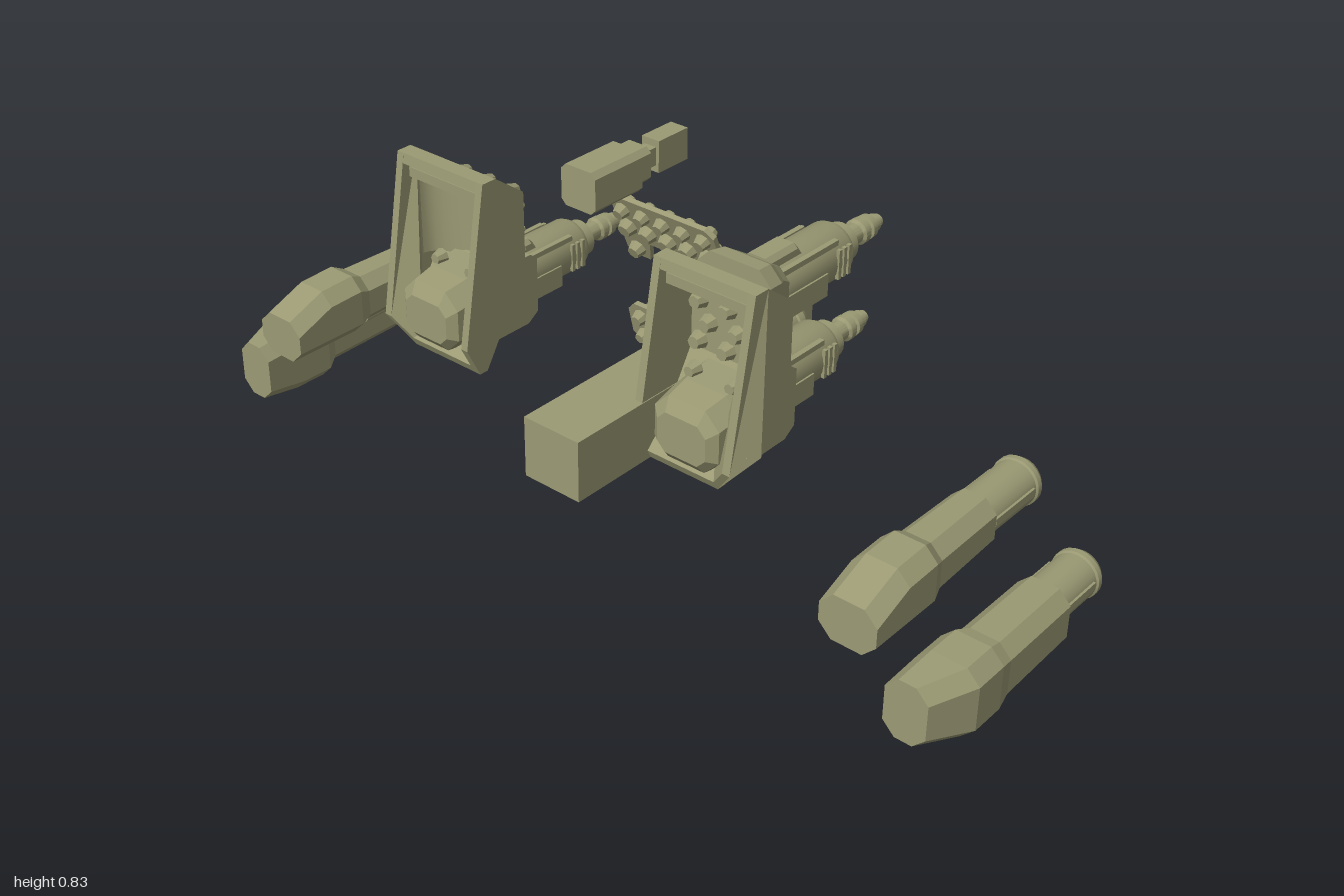
import * as THREE from 'three';
import { toCreasedNormals } from 'three/addons/utils/BufferGeometryUtils.js';

const olive = new THREE.MeshStandardMaterial({ color: 0x9b9a74 });
olive.name = 'olive khaki';

function add(parent, name, geo, x = 0, y = 0, z = 0) {
  const m = new THREE.Mesh(geo, olive);
  m.name = name;
  m.position.set(x, y, z);
  parent.add(m);
  return m;
}
const box = (w, h, d) => new THREE.BoxGeometry(w, h, d);

// Chamfered-rectangle sections [z, x0, x1, y0, y1, chamfer], front to rear, joined and capped
function loft(sections) {
  const rings = sections.map(([z, x0, x1, y0, y1, c]) => [
    [x0 + c, y0], [x1 - c, y0], [x1, y0 + c], [x1, y1 - c],
    [x1 - c, y1], [x0 + c, y1], [x0, y1 - c], [x0, y0 + c],
  ].map(([x, y]) => [x, y, z]));
  const pos = [];
  const tri = (a, b, c) => pos.push(...a, ...b, ...c);
  for (let i = 0; i < rings.length - 1; i++) {
    for (let j = 0; j < 8; j++) {
      const k = (j + 1) % 8;
      const a = rings[i][j], b = rings[i][k], c = rings[i + 1][j], d = rings[i + 1][k];
      tri(a, c, d);
      tri(a, d, b);
    }
  }
  const f = rings[0], r = rings[rings.length - 1];
  for (let j = 1; j < 7; j++) {
    tri(f[0], f[j], f[j + 1]);
    tri(r[0], r[j + 1], r[j]);
  }
  const g = new THREE.BufferGeometry();
  g.setAttribute('position', new THREE.Float32BufferAttribute(pos, 3));
  g.computeVertexNormals();
  return g;
}

// Turned part along z; profile is [radius, distance to the rear]
function turned(profile, sides = 24) {
  const g = new THREE.LatheGeometry(profile.map(([r, h]) => new THREE.Vector2(r, h)), sides);
  g.rotateX(-Math.PI / 2);
  return toCreasedNormals(g, 0.5);
}

// Side profile in (z, y), extruded from x0 to x1
function slab(profile, x0, x1) {
  const s = new THREE.Shape(profile.map(([z, y]) => new THREE.Vector2(z, y)));
  const g = new THREE.ExtrudeGeometry(s, { depth: x1 - x0, bevelEnabled: false });
  g.rotateY(-Math.PI / 2);
  g.translate(x1, 0, 0);
  return g;
}

// Short tapered stud pointing along z (dir = 1 front, -1 rear)
function stud(parent, x, y, z, r, dir) {
  const g = new THREE.CylinderGeometry(r * 0.65, r, 0.024, 8);
  g.rotateX(dir * Math.PI / 2);
  add(parent, 'stud', toCreasedNormals(g, 0.5), x, y, z + dir * 0.01);
}

// Outer pods: faceted cowl, slimmer middle, round barrel with hollow muzzle
function pod(root, s, bx, upper) {
  const g = new THREE.Group();
  g.name = upper ? 'upperPod' : 'lowerPod';
  const sec = (z, u0, u1, y0, y1, c) => [z, Math.min(s * u0, s * u1), Math.max(s * u0, s * u1), y0, y1, c];
  add(g, 'cowl', loft(upper ? [
    sec(0.288, -0.06, 0.07, -0.07, 0.032, 0.03), sec(0.19, -0.06, 0.07, -0.07, 0.07, 0.03),
    sec(0.1, -0.06, 0.07, -0.07, 0.073, 0.03), sec(0.07, -0.052, 0.06, -0.06, 0.058, 0.028),
    sec(-0.125, -0.05, 0.055, -0.056, 0.056, 0.028),
  ] : [
    sec(0.281, -0.065, 0.03, -0.07, 0.065, 0.028), sec(0.18, -0.065, 0.073, -0.088, 0.072, 0.03),
    sec(0.1, -0.065, 0.073, -0.088, 0.072, 0.03), sec(0.07, -0.05, 0.07, -0.07, 0.065, 0.028),
    sec(-0.145, -0.05, 0.068, -0.066, 0.064, 0.028),
  ]));
  add(g, 'barrel', turned([[0.05, 0.1], [0.05, 0.28], [0.054, 0.283], [0.054, 0.295],
    [0.044, 0.31], [0.032, 0.31], [0.03, 0.28], [0, 0.28]]));
  for (const k of [-1, 1]) add(g, 'barrelRib', box(0.006, 0.018, 0.14), k * 0.05, 0.005, -0.2);
  add(g, 'keel', loft([[0.06, -0.03, 0.03, -0.066, -0.03, 0.008],
    [-0.12, -0.03, 0.03, -0.06, -0.03, 0.008]]));
  g.position.set(bx, upper ? 0.243 : 0.09, 0);
  root.add(g);
}

// Cannon: ribbed body stepping down to a ringed muzzle
function cannon(root, x, y, z) {
  const g = new THREE.Group();
  g.name = 'cannon';
  add(g, 'body', turned([[0.06, -0.02], [0.06, 0.235], [0.054, 0.248], [0.042, 0.25], [0.042, 0.28],
    [0.022, 0.28], [0.022, 0.325], [0.028, 0.33], [0.028, 0.345], [0.021, 0.347], [0.021, 0.355],
    [0.027, 0.357], [0.026, 0.372], [0.019, 0.374], [0.019, 0.392], [0.014, 0.394], [0.014, 0.405], [0, 0.405]]));
  add(g, 'topRail', loft([[0, -0.03, 0.03, 0.03, 0.077, 0.01], [-0.09, -0.03, 0.03, 0.03, 0.077, 0.01],
    [-0.105, -0.03, 0.03, 0.03, 0.06, 0.01]]));
  for (const k of [-1, 1]) {
    add(g, 'sidePlate', box(0.014, 0.05, 0.15), k * 0.057, -0.025, -0.075);
    add(g, 'upperStrip', box(0.012, 0.012, 0.2), k * 0.043, 0.044, -0.1);
    for (let i = 0; i < 3; i++) add(g, 'ventRib', box(0.008, 0.065, 0.009), k * 0.059, 0.003, -0.19 - i * 0.016);
  }
  g.position.set(x, y, z);
  root.add(g);
}

// Hollow bay: two side walls, bent back wall, plug in the lower front
function bay(root, s, inner, outer) {
  const g = new THREE.Group();
  g.name = s > 0 ? 'leftBay' : 'rightBay';
  const cx = s * (inner + outer) / 2, w = outer - inner, t = 0.018;
  const side = [[0.172, 0.738], [0.235, 0.375], [0.2, 0.305], [0.178, 0.305],
    [0.138, 0.37], [0.056, 0.503], [0.056, 0.68], [0.135, 0.738]].reverse();
  const wall = (x) => slab(side, x - t / 2, x + t / 2);
  add(g, 'innerWall', wall(s * (inner + t / 2)));
  // the outer wall leans inward at its foot
  const out = wall(s * (outer - t / 2));
  const p = out.attributes.position;
  for (let i = 0; i < p.count; i++) if (p.getY(i) < 0.32) p.setX(i, p.getX(i) - s * 0.055);
  out.computeVertexNormals();
  add(g, 'outerWall', out);
  const back = [[0.172, 0.738], [0.135, 0.738], [0.056, 0.68], [0.056, 0.503], [0.138, 0.37],
    [0.16, 0.37], [0.078, 0.51], [0.078, 0.67], [0.14, 0.715], [0.175, 0.715]];
  add(g, 'backWall', slab(back, cx - w / 2 + t, cx + w / 2 - t));
  const floorX = cx - s * 0.027;
  add(g, 'floor', slab([[0.138, 0.37], [0.178, 0.305], [0.2, 0.305], [0.21, 0.325], [0.16, 0.375]],
    floorX - w / 2 + 0.027, floorX + w / 2 - 0.027));
  add(g, 'headBar', box(w - 0.05, 0.022, 0.03), cx, 0.695, 0.15);
  add(g, 'plug', loft([[0.232, cx - 0.06, cx + 0.06, 0.36, 0.45, 0.02], [0.215, cx - 0.08, cx + 0.08, 0.34, 0.48, 0.035],
    [0.16, cx - 0.085, cx + 0.085, 0.335, 0.49, 0.035], [0.08, cx - 0.085, cx + 0.085, 0.4, 0.5, 0.03]]));
  for (const k of [-1, 1]) stud(g, cx + k * 0.05, 0.5, 0.13, 0.018, 1);

  // smooth curved lining on one side, studded lining on the other
  if (s < 0) {
    const n = 12, arc = [];
    for (let i = 0; i <= n; i++) {
      const a = Math.PI * (1 + i / n);
      arc.push(new THREE.Vector2(cx + 0.103 * Math.cos(a), -0.135 - 0.055 * Math.sin(a)));
    }
    arc.push(new THREE.Vector2(cx + 0.103, -0.078), new THREE.Vector2(cx - 0.103, -0.078));
    const lining = new THREE.ExtrudeGeometry(new THREE.Shape(arc), { depth: 0.2, bevelEnabled: false });
    lining.rotateX(-Math.PI / 2);
    add(g, 'curvedLining', toCreasedNormals(lining, 0.5), 0, 0.49, 0);
  }
  const rows = [0.53, 0.575, 0.62, 0.665];
  rows.forEach((y, i) => [-0.07, 0, 0.07].forEach((dx) =>
    stud(g, cx + dx + (i % 2 ? 0.012 : -0.012), y, s > 0 ? 0.078 : 0.056, 0.021, s)));
  for (const y of [0.53, 0.58, 0.635]) for (const k of [-1, 1]) stud(g, cx + k * 0.1, y, 0.056, 0.011, -1);

  // lower cannon mount follows the sloping back
  add(g, 'lowerMount', slab([[0.13, 0.325], [0.0, 0.325], [-0.03, 0.345], [-0.03, 0.475],
    [-0.01, 0.49], [0.045, 0.49]].reverse(), cx - 0.075, cx + 0.075));
  root.add(g);
  return cx;
}

// Tilted plate with studs through it
function studPlate(root, name, y, z, tilt, outline, studs) {
  const g = new THREE.Group();
  g.name = name;
  const shape = new THREE.Shape(outline.map(([a, b]) => new THREE.Vector2(a, b)));
  add(g, 'plate', new THREE.ExtrudeGeometry(shape, { depth: 0.012, bevelEnabled: false }), 0, 0, -0.006);
  for (const [a, b, r] of studs) for (const d of [-1, 1]) stud(g, a, b, d * 0.004, r, d);
  g.position.set(-0.023, y, z);
  g.rotation.x = tilt;
  root.add(g);
}

export function createModel() {
  const root = new THREE.Group();
  root.name = 'weaponParts';

  for (const s of [-1, 1]) {
    pod(root, s, s < 0 ? -0.79 : 0.772, true);
    pod(root, s, s * 0.927, false);
  }

  const rx = bay(root, -1, 0.245, 0.494);
  const lx = bay(root, 1, 0.21, 0.455);
  cannon(root, rx, 0.415, 0.03);
  cannon(root, lx - 0.01, 0.415, 0.03);
  cannon(root, lx - 0.01, 0.63, 0);
  const ux = lx - 0.01;
  add(root, 'upperMount', loft([[0.07, ux - 0.09, ux + 0.09, 0.55, 0.725, 0.03], [0.03, ux - 0.085, ux + 0.085, 0.55, 0.72, 0.03],
    [0.005, ux - 0.07, ux + 0.07, 0.56, 0.705, 0.025], [-0.02, ux - 0.065, ux + 0.065, 0.565, 0.69, 0.025]]));
  add(root, 'mountFoot', box(0.08, 0.04, 0.07), ux, 0.545, 0.015);

  // Long case with slanted rear, and its barrel
  const caseGeo = box(0.14, 0.135, 0.38);
  const p = caseGeo.attributes.position;
  for (let i = 0; i < p.count; i++) if (p.getZ(i) < 0) p.setZ(i, p.getX(i) < 0 ? -0.24 : -0.14);
  caseGeo.computeVertexNormals();
  add(root, 'longCase', caseGeo, 0.16, 0.373, 0.22);
  add(root, 'caseNeck', loft([[0.06, 0.115, 0.213, 0.315, 0.412, 0.025], [-0.14, 0.118, 0.21, 0.32, 0.41, 0.025]]));
  add(root, 'caseBarrel', turned([[0.043, 0.1], [0.043, 0.31], [0.047, 0.313], [0.047, 0.33], [0.038, 0.345],
    [0.028, 0.345], [0.026, 0.32], [0, 0.32]]), 0.165, 0.365, 0);
  add(root, 'barrelStub', box(0.045, 0.065, 0.065), 0.165, 0.368, -0.348);

  // Small sensor box on top
  const sx = -0.021;
  add(root, 'sensorBox', loft([[0.13, sx - 0.045, sx + 0.045, 0.74, 0.83, 0.012], [-0.01, sx - 0.045, sx + 0.045, 0.74, 0.83, 0.012],
    [-0.02, sx - 0.035, sx + 0.035, 0.747, 0.823, 0.012], [-0.047, sx - 0.035, sx + 0.035, 0.747, 0.823, 0.012]]));
  add(root, 'sensorNeck', box(0.03, 0.04, 0.06), sx, 0.785, -0.066);
  add(root, 'sensorTail', box(0.045, 0.07, 0.09), sx, 0.785, -0.13);

  // Studded plates in the middle
  const bridge = [[-0.14, -0.07], [-0.125, -0.088], [-0.08, -0.088], [-0.065, -0.035], [0.065, -0.035], [0.08, -0.088],
    [0.125, -0.088], [0.14, -0.07], [0.14, 0.07], [0.12, 0.088], [-0.12, 0.088], [-0.14, 0.07]];
  const bridgeStuds = [];
  for (const x of [-0.11, -0.055, 0, 0.055, 0.11]) bridgeStuds.push([x, 0.055, 0.02], [x, 0.005, 0.024]);
  for (const x of [-0.105, 0.105]) bridgeStuds.push([x, -0.06, 0.022]);
  studPlate(root, 'bridgePlate', 0.56, -0.155, 0.4, bridge, bridgeStuds);
  const low = [[-0.11, -0.03], [-0.08, -0.055], [0.08, -0.055], [0.11, -0.03], [0.11, 0.035], [0.09, 0.055],
    [-0.09, 0.055], [-0.11, 0.035]];
  const lowStuds = [];
  for (const x of [-0.075, -0.025, 0.025, 0.075]) lowStuds.push([x, 0.025, 0.02], [x, -0.025, 0.018]);
  studPlate(root, 'lowerPlate', 0.33, -0.16, 0.25, low, lowStuds);

  return root;
}
